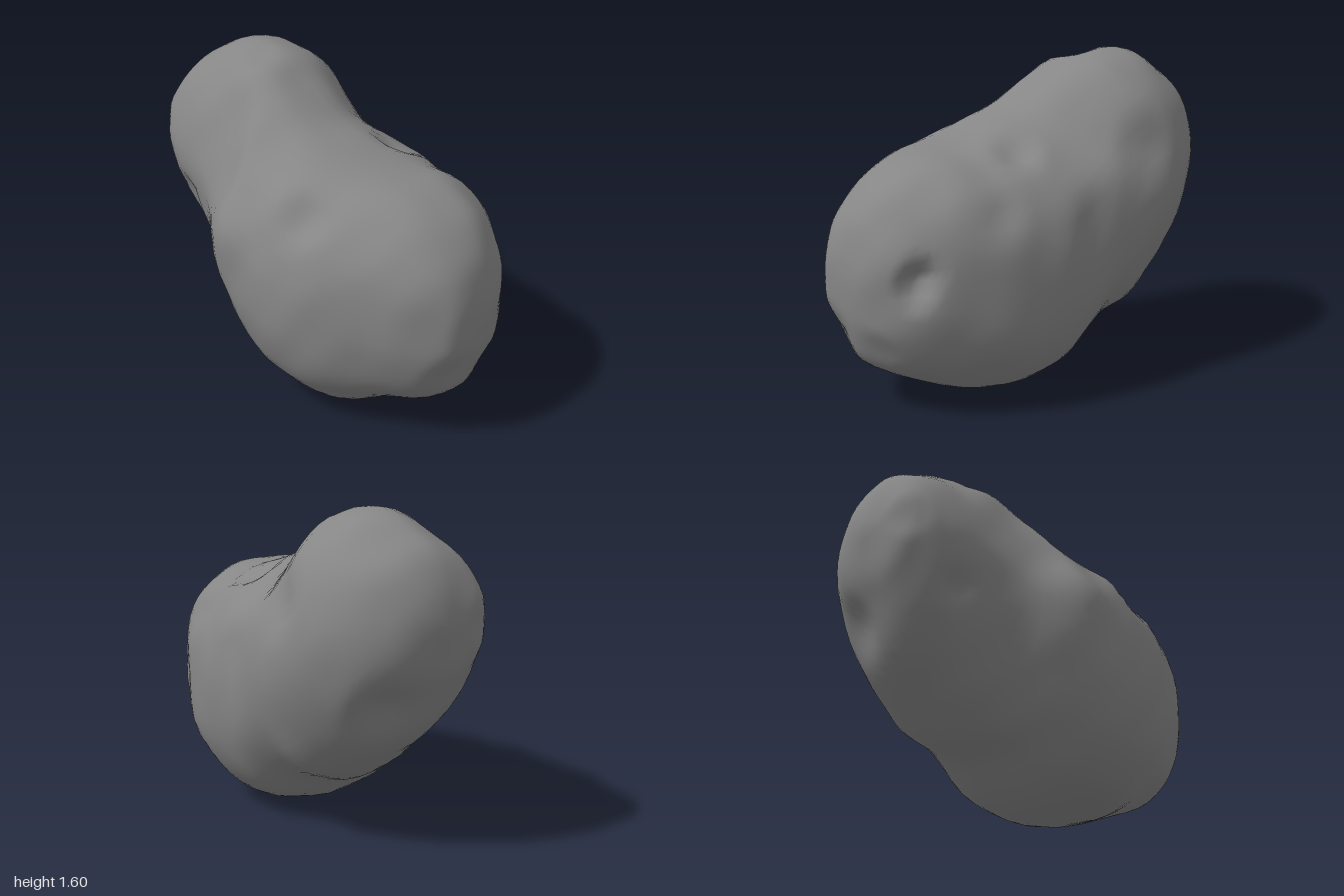
import * as THREE from 'three';
import { mergeVertices } from 'three/addons/utils/BufferGeometryUtils.js';

// Body stations from front to back: z, left x, right x, bottom y, top y
const STATIONS = [
  [1.0, -0.07, -0.05, 0.65, 0.67],
  [0.985, -0.2, 0.1, 0.45, 0.8],
  [0.93, -0.28, 0.22, 0.29, 0.95],
  [0.8, -0.39, 0.36, 0.18, 1.09],
  [0.62, -0.47, 0.46, 0.1, 1.185],
  [0.4, -0.57, 0.55, 0.02, 1.215],
  [0.2, -0.6, 0.58, 0.0, 1.27],
  [0.0, -0.59, 0.58, 0.04, 1.34],
  [-0.2, -0.57, 0.59, 0.19, 1.47],
  [-0.4, -0.42, 0.6, 0.27, 1.59],
  [-0.6, -0.33, 0.57, 0.42, 1.59],
  [-0.78, -0.29, 0.48, 0.58, 1.52],
  [-0.9, -0.23, 0.38, 0.78, 1.44],
  [-0.97, -0.15, 0.27, 0.92, 1.31],
  [-1.0, 0.07, 0.09, 1.11, 1.13],
];

// Craters and hollows: x, y, z, radius, depth
const DENTS = [
  [0.31, 0.7, 0.85, 0.12, 0.1],
  [-0.18, 0.38, 0.95, 0.17, 0.025],
  [0.1, 0.33, 0.93, 0.15, 0.025],
  [0.28, 1.2, 0.22, 0.15, 0.05],
  [-0.45, 1.06, 0.28, 0.16, 0.045],
  [0.0, 1.57, -0.44, 0.15, 0.04],
  [0.55, 1.18, -0.38, 0.2, 0.06],
  [0.48, 0.98, 0.47, 0.13, 0.02],
  [0.58, 0.88, 0.0, 0.15, 0.015],
  [0.3, 0.72, -0.82, 0.2, 0.04],
  [-0.17, 1.12, -0.96, 0.13, 0.025],
  [-0.25, 0.82, -0.72, 0.13, 0.04],
  // broad hollows on both sides of the neck
  [-0.44, 1.25, -0.25, 0.44, 0.09],
  [0.42, 1.28, -0.1, 0.35, 0.05],
];

const RINGS = 64, SIDES = 56;

// Rounded cross-section lofted through the stations:
// squarish at the body, leaner towards the upper left at the head
function loftBody() {
  const spline = (a, b) => new THREE.CatmullRomCurve3(
    STATIONS.map(s => new THREE.Vector3(s[a], s[b], s[0])), false, 'catmullrom', 0.5);
  const widths = spline(1, 2), heights = spline(3, 4);
  const round = (v, e) => Math.sign(v) * Math.pow(Math.abs(v), e);
  const positions = [], index = [];
  for (let i = 0; i <= RINGS; i++) {
    const w = widths.getPoint(i / RINGS), h = heights.getPoint(i / RINGS);
    const pole = i === 0 || i === RINGS ? 0 : 1;
    const body = THREE.MathUtils.smoothstep(w.z, -0.5, 0);
    for (let j = 0; j < SIDES; j++) {
      const a = (j / SIDES) * Math.PI * 2;
      const e = THREE.MathUtils.lerp(1.03 - 0.12 * Math.cos(a + Math.PI / 4), 0.86, body);
      positions.push(
        (w.x + w.y) / 2 + pole * round(Math.cos(a), e) * (w.y - w.x) / 2,
        (h.x + h.y) / 2 + pole * round(Math.sin(a), e) * (h.y - h.x) / 2,
        w.z);
      if (i === RINGS) continue;
      const k = (j + 1) % SIDES, p = i * SIDES, q = p + SIDES;
      if (i < RINGS - 1) index.push(p + j, q + j, q + k);
      else index.push(p + j, q + j, p + k);
      if (i > 0 && i < RINGS - 1) index.push(p + j, q + k, p + k);
    }
  }
  const geometry = new THREE.BufferGeometry();
  geometry.setAttribute('position', new THREE.Float32BufferAttribute(positions, 3));
  geometry.setIndex(index);
  return mergeVertices(geometry, 1e-5);
}

// Gentle lumps: waves in evenly spread directions
const WAVES = Array.from({ length: 16 }, (_, i) => {
  const y = 1 - (2 * i + 1) / 16, r = Math.sqrt(1 - y * y), a = i * 2.4;
  const frequency = 14 + (i * 7) % 16;
  return {
    dir: new THREE.Vector3(r * Math.cos(a), y, r * Math.sin(a)).multiplyScalar(frequency),
    phase: i * 1.7,
    size: 0.03 / frequency,
  };
});
const lumps = p => WAVES.reduce((sum, w) => sum + w.size * Math.sin(w.dir.dot(p) + w.phase), 0);

// Push craters and lumps along the surface normal
function sculpt(geometry) {
  geometry.computeVertexNormals();
  const pos = geometry.attributes.position, nor = geometry.attributes.normal;
  const p = new THREE.Vector3(), n = new THREE.Vector3(), c = new THREE.Vector3();
  for (let i = 0; i < pos.count; i++) {
    p.fromBufferAttribute(pos, i);
    n.fromBufferAttribute(nor, i);
    let move = lumps(p);
    for (const [x, y, z, radius, depth] of DENTS) {
      const d = p.distanceTo(c.set(x, y, z)) / radius;
      if (d < 1) move -= depth * (1 - d * d) ** 2;
    }
    p.addScaledVector(n, move);
    pos.setXYZ(i, p.x, p.y, p.z);
  }
  // Settle on the ground, centred
  geometry.computeBoundingBox();
  const box = geometry.boundingBox, mid = box.getCenter(new THREE.Vector3());
  geometry.translate(-mid.x, -box.min.y, -mid.z);
  geometry.computeVertexNormals();
  return geometry;
}

export function createModel() {
  const group = new THREE.Group();
  group.name = 'asteroid';
  const rock = new THREE.Mesh(
    sculpt(loftBody()),
    new THREE.MeshStandardMaterial({ color: 0x868686 }));
  rock.name = 'rock';
  group.add(rock);
  return group;
}
